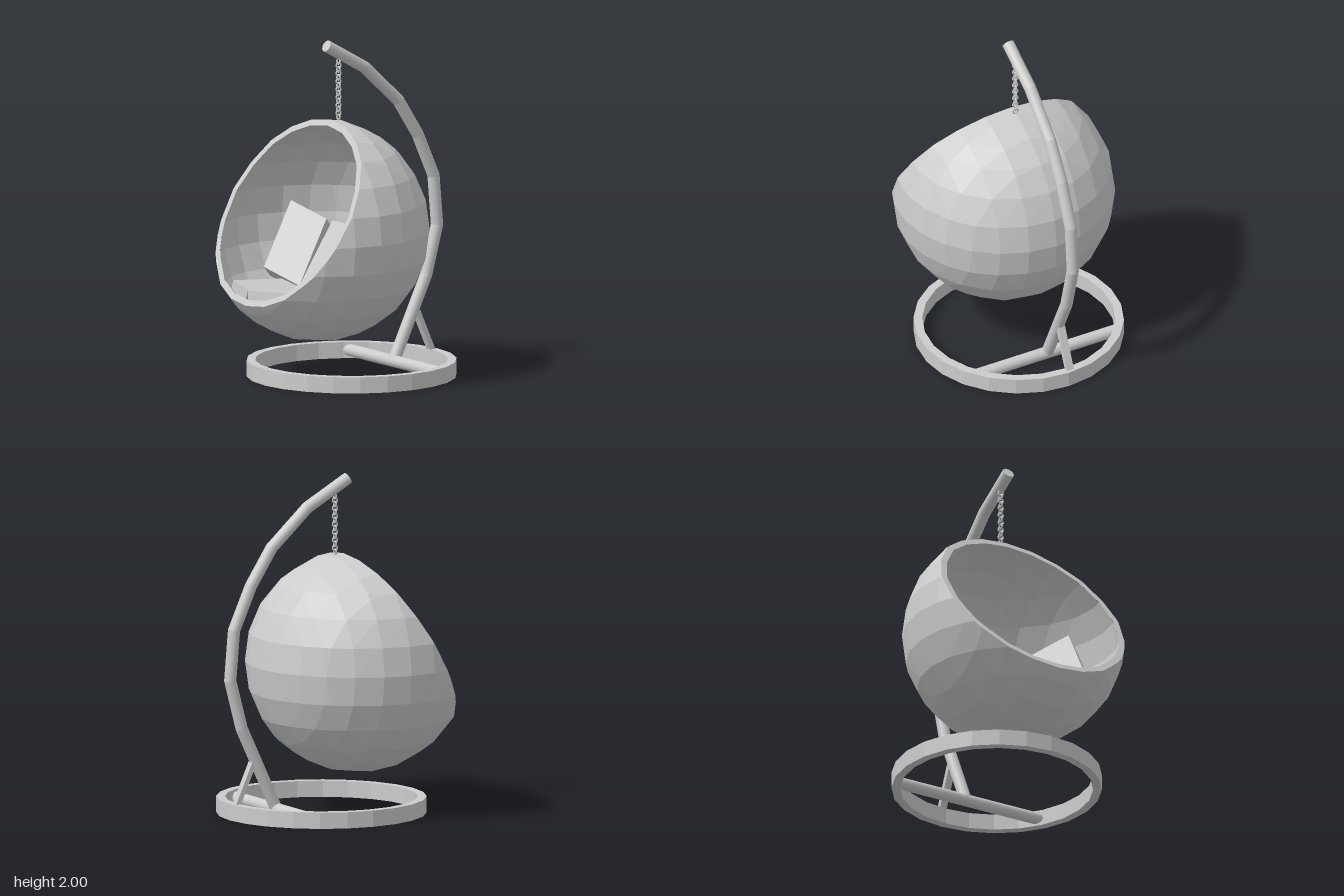
import * as THREE from 'three';
import { ConvexGeometry } from 'three/addons/geometries/ConvexGeometry.js';

const V = (x, y, z) => new THREE.Vector3(x, y, z);
const CENTER = V(-0.19, 0.885, 0);          // middle of the ball
const OPEN = V(-0.866, 0.5, 0).normalize(); // direction the opening faces
const CUT = 0.242;                          // ball centre to opening plane
const R = 0.656, R_IN = 0.62, PIPE = 0.036;

export function createModel() {
  const grey = new THREE.MeshStandardMaterial({ color: 0xcccccc });
  grey.name = 'light grey';
  const model = new THREE.Group();
  model.name = 'hangingChair';

  function add(name, geometry, parent = model) {
    const mesh = new THREE.Mesh(geometry, grey);
    mesh.name = name;
    parent.add(mesh);
    return mesh;
  }
  function group(name) {
    const g = new THREE.Group();
    g.name = name;
    model.add(g);
    return g;
  }
  // straight round pipe between two points
  function pipe(name, a, b, r, parent) {
    const m = add(name, new THREE.CylinderGeometry(r, r, a.distanceTo(b), 20), parent);
    m.position.copy(a).add(b).multiplyScalar(0.5);
    m.quaternion.setFromUnitVectors(V(0, 1, 0), b.clone().sub(a).normalize());
  }
  // cushion: front face spanned by e and w from a corner, thickness behind it
  function cushion(name, corner, e, w, depth, parent) {
    const n = e.clone().cross(w).normalize().multiplyScalar(depth);
    const g = new THREE.BoxGeometry(1, 1, 1).translate(0.5, 0.5, -0.5);
    g.applyMatrix4(new THREE.Matrix4().makeBasis(e, w, n).setPosition(corner));
    add(name, g, parent);
  }

  // faceted ball: a 15 degree grid on each of six sides
  function ball(r) {
    const points = new Map();
    for (let axis = 0; axis < 3; axis++)
      for (let i = -3; i <= 3; i++)
        for (let j = -3; j <= 3; j++) {
          const a = Math.sin(i * Math.PI / 12), b = Math.sin(j * Math.PI / 12);
          const c = Math.sqrt(Math.max(0, 1 - a * a - b * b));
          if (c < 0.49) continue;
          for (const s of [-1, 1]) {
            const p = [0, 0, 0];
            p[axis] = c * s;
            p[(axis + 1) % 3] = a;
            p[(axis + 2) % 3] = b;
            points.set(p.map(v => Math.round(v * 1e4)).join(), V(...p).multiplyScalar(r));
          }
        }
    return new ConvexGeometry([...points.values()]);
  }
  function fromTriangles(list) {
    const g = new THREE.BufferGeometry().setFromPoints(list);
    g.computeVertexNormals();
    return g.translate(CENTER.x, CENTER.y, CENTER.z);
  }
  // keep what lies behind the opening plane, and record the cut edges
  function clipped(r, inward) {
    const pos = ball(r).getAttribute('position'), tris = [], cuts = [];
    for (let i = 0; i < pos.count; i += 3) {
      const t = [0, 1, 2].map(k => new THREE.Vector3().fromBufferAttribute(pos, i + k));
      const poly = [];
      let leave = null, enter = null;
      t.forEach((p, k) => {
        const q = t[(k + 1) % 3], dp = p.dot(OPEN) - CUT, dq = q.dot(OPEN) - CUT;
        if (dp <= 0) poly.push(p);
        if ((dp <= 0) !== (dq <= 0)) {
          const x = p.clone().lerp(q, dp / (dp - dq));
          poly.push(x);
          if (dp <= 0) leave = x; else enter = x;
        }
      });
      if (leave && enter) cuts.push([leave, enter]);
      for (let k = 1; k + 1 < poly.length; k++)
        tris.push(poly[0], ...(inward ? [poly[k + 1], poly[k]] : [poly[k], poly[k + 1]]));
    }
    return { tris, cuts };
  }

  // shell with its flat rim
  const shell = group('shell');
  const outer = clipped(R, false);
  add('outerShell', fromTriangles(outer.tris), shell);
  add('innerShell', fromTriangles(clipped(R_IN, true).tris), shell);
  const rimCenter = OPEN.clone().multiplyScalar(CUT);
  const ratio = Math.sqrt(R_IN ** 2 - CUT ** 2) / Math.sqrt(R ** 2 - CUT ** 2);
  const rim = [];
  for (const [a, b] of outer.cuts) {
    const a2 = rimCenter.clone().lerp(a, ratio), b2 = rimCenter.clone().lerp(b, ratio);
    rim.push(b, a, a2, b, a2, b2);
  }
  add('rim', fromTriangles(rim), shell);

  // seat and three back cushions
  const cushions = group('cushions');
  const depthways = V(0.4, -0.03, 0);
  cushion('seat', V(-0.58, 0.54, -0.155), V(0, 0.05, 0.485), depthways, 0.085, cushions);
  cushion('seatSide', V(-0.58, 0.58, -0.305), V(0, -0.04, 0.15), depthways, 0.085, cushions);
  cushion('backCushion', V(-0.21, 0.53, -0.16), V(0, 0, 0.36), V(0.235, 0.365, 0), 0.15, cushions);
  cushion('sideCushionRear', V(-0.31, 0.62, -0.38), V(0.1, -0.09, 0.22),
    V(0.235, 0.365, -0.06), 0.14, cushions);
  cushion('sideCushionFront', V(-0.21, 0.53, 0.2), V(-0.165, 0.12, 0.18),
    V(0.235, 0.365, 0.025), 0.16, cushions);

  // faceted base ring
  const shape = new THREE.Shape(), hole = new THREE.Path();
  const circle = r => Array.from({ length: 24 }, (_, i) =>
    new THREE.Vector2(r * Math.cos(i * Math.PI / 12), r * Math.sin(i * Math.PI / 12)));
  shape.setFromPoints(circle(0.616));
  hole.setFromPoints(circle(0.565));
  shape.holes.push(hole);
  const ring = new THREE.ExtrudeGeometry(shape, { depth: 0.096, bevelEnabled: false });
  add('baseRing', ring.rotateX(-Math.PI / 2).translate(0.037, 0, 0.02));
  pipe('crossbar', V(0.354, 0.048, -0.47), V(0.354, 0.048, 0.51), PIPE, model);

  // bent post
  const post = group('post');
  const path = [[0.352, 0.05], [0.583, 0.54], [0.66, 0.83], [0.635, 1.125], [0.522, 1.38],
    [0.384, 1.595], [0.143, 1.817], [-0.128, 1.97]].map(([x, y]) => V(x, y, 0));
  for (let i = 0; i + 1 < path.length; i++) {
    pipe('postSegment', path[i], path[i + 1], PIPE, post);
    if (i) add('postJoint', new THREE.SphereGeometry(PIPE, 20, 12), post).position.copy(path[i]);
  }

  // brace behind the post
  const low = V(0.632, 0.06, 0), high = V(0.51, 0.335, 0);
  const brace = add('brace', new THREE.BoxGeometry(0.03, low.distanceTo(high), 0.045));
  brace.position.copy(low).add(high).multiplyScalar(0.5);
  brace.quaternion.setFromUnitVectors(V(0, 1, 0), high.clone().sub(low).normalize());

  // chain with alternating links
  const chain = group('chain');
  const link = new THREE.TorusGeometry(0.016, 0.005, 8, 16);
  for (let i = 0; i < 15; i++) {
    const m = add('chainLink', link, chain);
    m.position.set(-0.042, 1.54 + i * 0.0235, 0);
    m.rotation.y = i % 2 ? 0 : Math.PI / 2;
  }
  return model;
}
